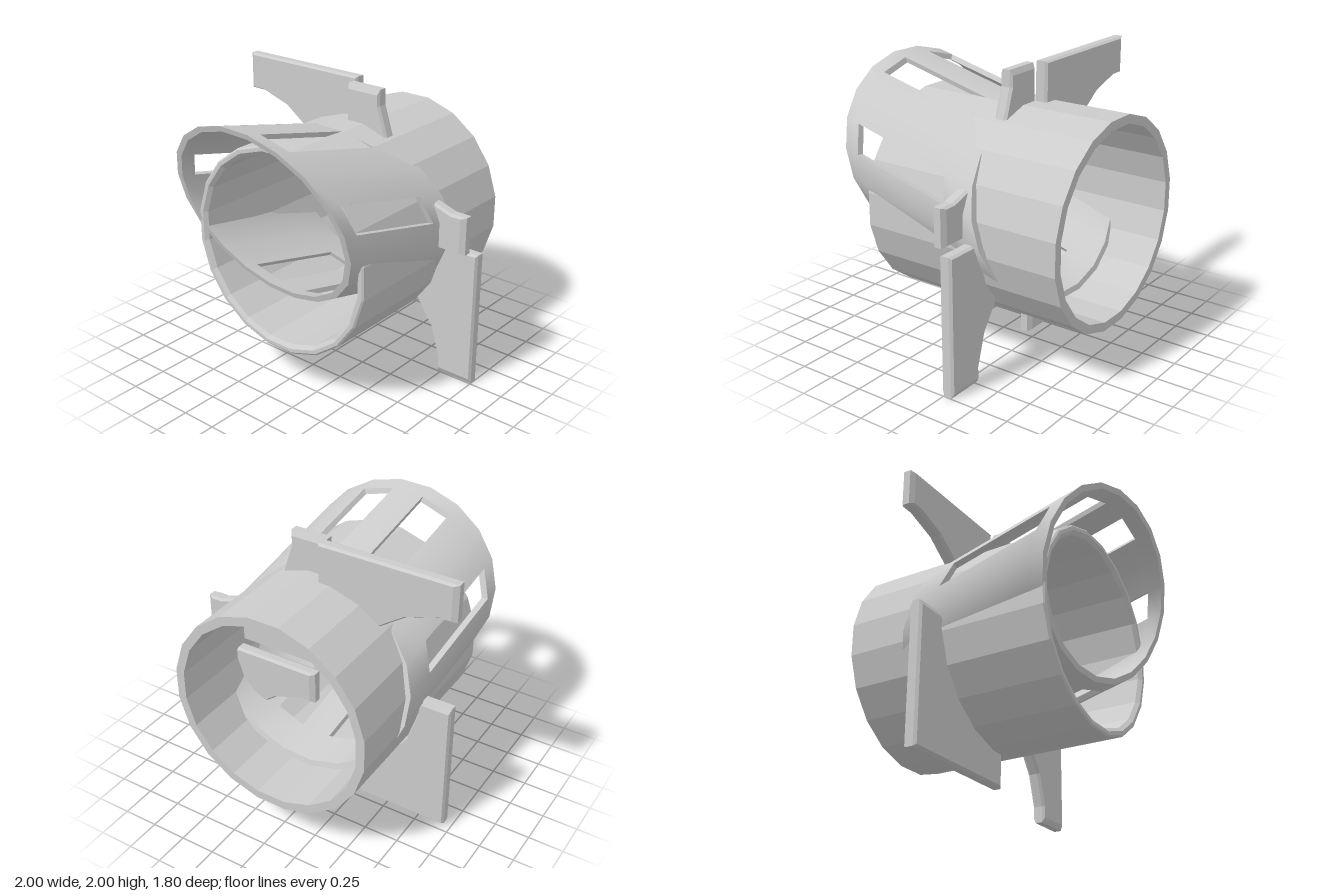
import * as THREE from 'three';
import { toCreasedNormals } from 'three/addons/utils/BufferGeometryUtils.js';

const SIDES = 20;
const STEP = (Math.PI * 2) / SIDES;
const flatGrey = new THREE.MeshStandardMaterial({ color: 0xcccccc, flatShading: true });
const smoothGrey = new THREE.MeshStandardMaterial({ color: 0xcccccc });

function add(group, name, geometry, material) {
  const mesh = new THREE.Mesh(geometry, material);
  mesh.name = name;
  group.add(mesh);
  return mesh;
}

// Straight thick-walled tube along z
function mainTubeGeometry() {
  const profile = [
    [0.665, -0.9], [0.727, -0.9], [0.727, 0.59], [0.715, 0.6],
    [0.69, 0.6], [0.665, 0.575], [0.665, -0.9],
  ].map(([r, y]) => new THREE.Vector2(r, y));
  const g = new THREE.LatheGeometry(profile, SIDES, STEP / 2);
  return g.rotateX(Math.PI / 2);
}

// Unit tube wall (z from 0 to 1) with one-facet windows, only exposed faces
function windowedTubeGeometry(inner, windows, bands) {
  const pos = [];
  const point = (r, i, t) => {
    const a = (i - 0.5) * STEP;
    return [r * Math.cos(a), r * Math.sin(a), t];
  };
  const quad = (a, b, c, d) => pos.push(...a, ...b, ...c, ...a, ...c, ...d);
  const solid = (i, k) => k >= 0 && k <= 2 &&
    !(k === 1 && windows.includes((i + SIDES) % SIDES));
  for (let i = 0; i < SIDES; i++) {
    for (let k = 0; k < 3; k++) {
      if (!solid(i, k)) continue;
      const t0 = bands[k], t1 = bands[k + 1], j = i + 1;
      const o = [point(1, i, t0), point(1, j, t0), point(1, j, t1), point(1, i, t1)];
      const n = [point(inner, i, t0), point(inner, j, t0), point(inner, j, t1), point(inner, i, t1)];
      quad(o[0], o[1], o[2], o[3]);
      quad(n[3], n[2], n[1], n[0]);
      if (!solid(i, k + 1)) quad(n[3], o[3], o[2], n[2]);
      if (!solid(i, k - 1)) quad(n[1], o[1], o[0], n[0]);
      if (!solid(i + 1, k)) quad(n[1], n[2], o[2], o[1]);
      if (!solid(i - 1, k)) quad(o[0], o[3], n[3], n[0]);
    }
  }
  const g = new THREE.BufferGeometry();
  g.setAttribute('position', new THREE.Float32BufferAttribute(pos, 3));
  return g;
}

// Corner plate: arms along x and y from the origin, joined by a concave faceted curve
function cornerPlateGeometry(armX, armY) {
  const size = 0.98, bevel = 0.012, endInset = 0.037;
  const rx = size - armY, ry = size - armX;
  const vertexScale = 1 / Math.cos(STEP / 2);
  const shape = new THREE.Shape();
  shape.moveTo(0, 0);
  shape.lineTo(size, 0);
  shape.lineTo(size, armX);
  for (let k = 0; k < 5; k++) {
    const a = (k + 0.5) * STEP;
    shape.lineTo(
      size - rx * Math.sin(a) * vertexScale,
      size - ry * Math.cos(a) * vertexScale,
    );
  }
  shape.lineTo(armY, size);
  shape.lineTo(0, size);
  shape.closePath();
  const g = new THREE.ExtrudeGeometry(shape, {
    depth: 0.052, bevelEnabled: true, bevelSegments: 1,
    bevelThickness: 0.02, bevelSize: bevel, bevelOffset: -bevel,
  });
  g.translate(0, 0, -0.026);
  // Wider chamfer at the two arm ends
  const p = g.attributes.position;
  for (let i = 0; i < p.count; i++) {
    if (Math.abs(p.getZ(i)) < 0.03) continue;
    p.setX(i, Math.min(p.getX(i), size - endInset));
    p.setY(i, Math.min(p.getY(i), size - endInset));
  }
  return g;
}

export function createModel() {
  const model = new THREE.Group();
  model.name = 'ductWithPlates';

  add(model, 'mainTube', mainTubeGeometry(), flatGrey).position.y = 1.008;

  // Slanted oval sleeve: sheared basis gives the tilted rim and axis
  const sleeve = windowedTubeGeometry(0.94, [1, 4, 6, 9, 14, 16], [0, 0.21, 0.9, 1]);
  const basis = new THREE.Matrix4().makeBasis(
    new THREE.Vector3(0.768, 0, 0.04),
    new THREE.Vector3(-0.012, 0.627, 0.19),
    new THREE.Vector3(-0.05, 0.25, 1.09),
  ).setPosition(0.01, 1.05, -0.38);
  sleeve.applyMatrix4(basis);
  add(model, 'slantedSleeve', toCreasedNormals(sleeve, Math.PI / 6), smoothGrey);

  // Four corner plates in two layers: name, corner x, y, z, turn, arm widths
  const plates = [
    ['upperLeftPlate', -0.025, 1.0, -0.193, 0, 0.265, 0.265],
    ['lowerRightPlate', -0.96, 0.04, -0.193, 0, 0.24, 0.235],
    ['upperRightPlate', -0.02, 2.0, -0.285, Math.PI, 0.26, 0.235],
    ['lowerLeftPlate', 1.0, 0.98, -0.285, Math.PI, 0.235, 0.275],
  ];
  for (const [name, x, y, z, turn, armX, armY] of plates) {
    const mesh = add(model, name, cornerPlateGeometry(armX, armY), flatGrey);
    mesh.position.set(x, y, z);
    mesh.rotation.z = turn;
  }
  return model;
}
